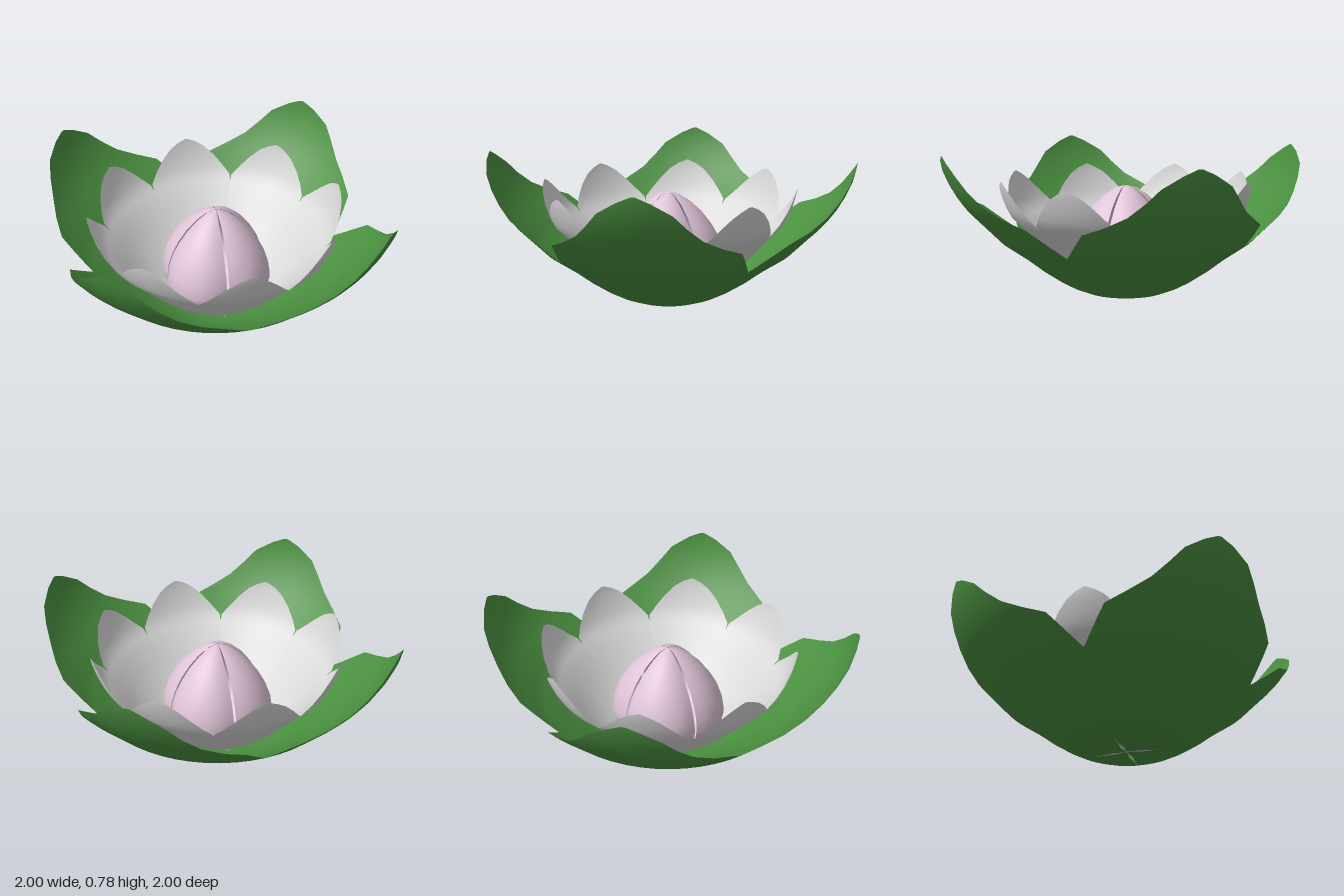
import * as THREE from 'three';

const material = (name, color) =>
  new THREE.MeshStandardMaterial({ name, color, side: THREE.DoubleSide });

// Each row is [radius, height, half angle in degrees], from the base to the tip.
const OUTER = [
  [0.01, 0.006, 45], [0.07, 0.003, 37], [0.15, 0, 44.5], [0.22, 0.01, 45], [0.3, 0.042, 45],
  [0.37, 0.08, 45], [0.46, 0.14, 45], [0.55, 0.21, 45], [0.68, 0.3, 45], [0.73, 0.35, 41],
  [0.78, 0.4, 37.6], [0.83, 0.45, 34.5], [0.87, 0.495, 26.5], [0.91, 0.55, 19.5],
  [0.95, 0.62, 14.5], [0.98, 0.69, 10.5], [0.995, 0.75, 4.6], [1, 0.78, 0.6],
];
const INNER = [
  [0, 0.012, 22.5], [0.15, 0.03, 22.5], [0.25, 0.08, 22.5], [0.34, 0.14, 22.5],
  [0.42, 0.215, 22.5], [0.48, 0.28, 22.5], [0.54, 0.35, 22.5], [0.59, 0.4, 22.5],
  [0.62, 0.43, 22], [0.645, 0.475, 18], [0.667, 0.53, 13.5], [0.683, 0.585, 8.5],
  [0.689, 0.615, 4.5], [0.692, 0.635, 0.6],
];
const BUD = [
  [0.08, 0.02, 45], [0.18, 0.04, 45], [0.26, 0.09, 44.5], [0.3, 0.15, 44], [0.31, 0.2, 44],
  [0.3, 0.27, 43.5], [0.275, 0.34, 43.5], [0.235, 0.41, 43], [0.18, 0.48, 42.5],
  [0.12, 0.535, 42], [0.06, 0.575, 42], [0.005, 0.59, 42],
];

// Curved petal swept around the centre; sag pulls its side edges inward
function petalGeometry(rows, columns, sag = 0) {
  const positions = [];
  const indices = [];
  rows.forEach(([radius, height, half], i) => {
    for (let j = 0; j <= columns; j++) {
      const v = (j / columns) * 2 - 1;
      const angle = THREE.MathUtils.degToRad(half * v);
      const r = radius * (1 - sag * v * v);
      positions.push(Math.sin(angle) * r, height, Math.cos(angle) * r);
      if (i < rows.length - 1 && j < columns) {
        const a = i * (columns + 1) + j;
        const b = a + columns + 1;
        indices.push(a, a + 1, b, a + 1, b + 1, b);
      }
    }
  });
  const geometry = new THREE.BufferGeometry();
  geometry.setAttribute('position', new THREE.Float32BufferAttribute(positions, 3));
  geometry.setIndex(indices);
  geometry.computeVertexNormals();
  return geometry;
}

// Ring of equal petals
function whorl(name, count, geometry, mat) {
  const group = new THREE.Group();
  group.name = name + 's';
  for (let i = 0; i < count; i++) {
    const petal = new THREE.Mesh(geometry, mat);
    petal.name = name;
    petal.rotation.y = (i * Math.PI * 2) / count;
    group.add(petal);
  }
  return group;
}

export function createModel() {
  const model = new THREE.Group();
  model.name = 'waterLily';
  model.add(
    whorl('outerPetal', 4, petalGeometry(OUTER, 14), material('leaf green', 0x4b9040)),
    whorl('innerPetal', 8, petalGeometry(INNER, 10), material('petal white', 0xd9d9d9)),
    whorl('budPetal', 4, petalGeometry(BUD, 12, 0.12), material('bud pink', 0xdfc4d8)),
  );
  return model;
}
